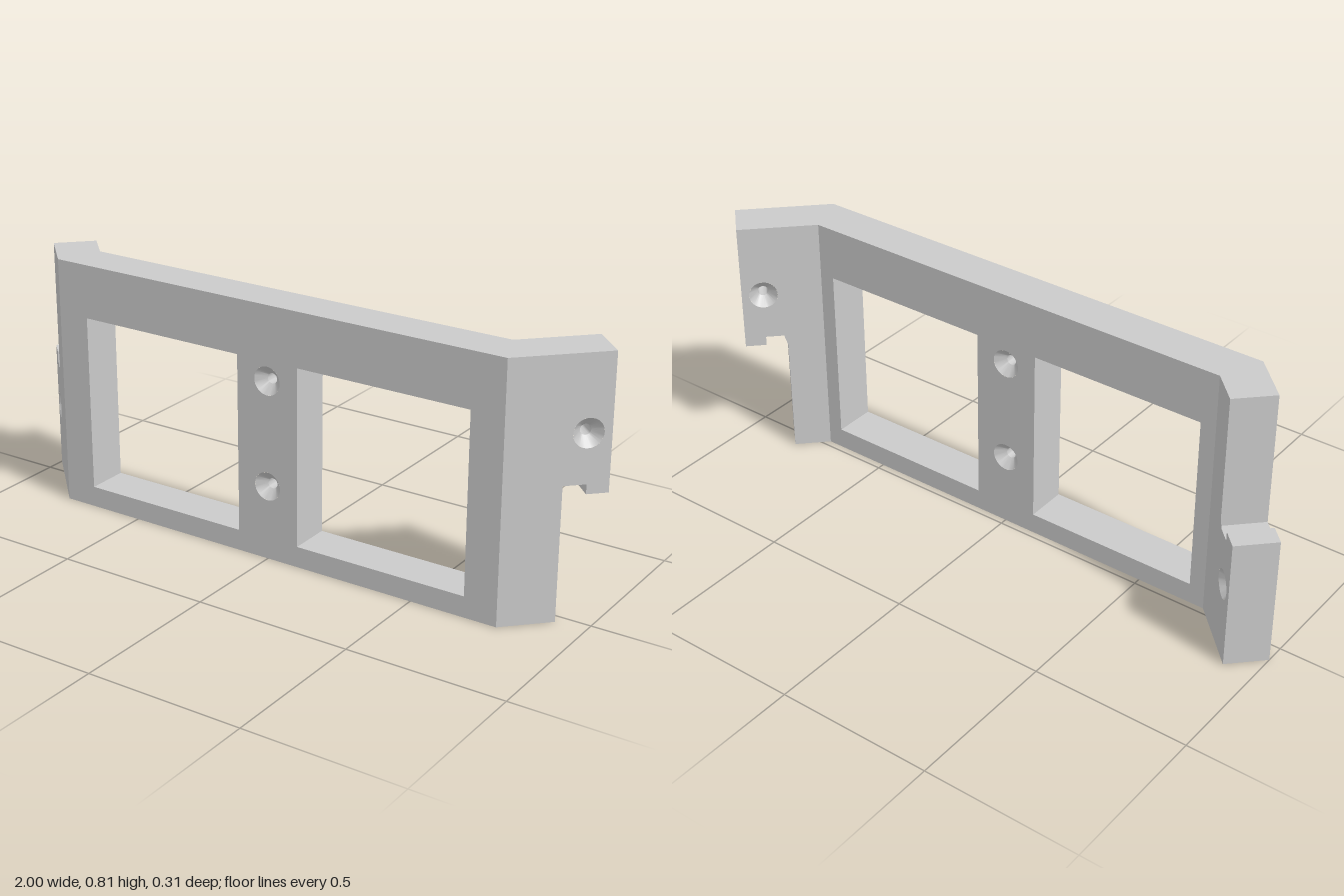
import * as THREE from 'three';
import { toCreasedNormals } from 'three/addons/utils/BufferGeometryUtils.js';

const H = 0.808;              // height
const T = 0.135;              // plate thickness
const FRONT = 0.157;          // z of the front face
const FOLD = 0.782;           // x of the fold on the front face
const MITRE = T * Math.tan(Math.PI / 8);
const SINK = 0.045;           // countersink radius
const BORE = 0.0165;          // bore radius

const polygon = (pts) => pts.map(([x, y]) => new THREE.Vector2(x, y));

// Extruded plate whose seam edges (x = ±seam) are mitred at the back and left open,
// as are the screw holes, which get their own double-countersunk lining.
function plateGeometry(outline, windows, holes, seam, mitre) {
  const shape = new THREE.Shape(polygon(outline));
  for (const w of windows) shape.holes.push(new THREE.Path(polygon(w)));
  for (const [x, y] of holes) {
    shape.holes.push(new THREE.Path().absarc(x, y, SINK, 0, Math.PI * 2, true));
  }
  const source = new THREE.ExtrudeGeometry(shape, { depth: T, bevelEnabled: false, curveSegments: 32 });
  const pos = source.attributes.position;
  const kept = [];
  const onSeam = (v) => Math.abs(Math.abs(v.x) - seam) < 1e-5;
  for (let i = 0; i < pos.count; i += 3) {
    const tri = [0, 1, 2].map((k) => new THREE.Vector3().fromBufferAttribute(pos, i + k));
    const inHole = holes.some(([x, y]) => tri.every((v) => Math.hypot(v.x - x, v.y - y) < SINK + 0.001));
    const inSeam = tri.every((v) => onSeam(v) && Math.abs(v.x - tri[0].x) < 1e-5);
    if (inHole || inSeam) continue;
    for (const v of tri) {
      if (onSeam(v) && v.z < T / 2) v.x += (v.x < 0 ? -1 : 1) * mitre;
      kept.push(v.x, v.y, v.z);
    }
  }
  const geometry = new THREE.BufferGeometry();
  geometry.setAttribute('position', new THREE.Float32BufferAttribute(kept, 3));
  geometry.computeVertexNormals();
  return geometry;
}

// Inward-facing lining: cone, bore, cone
function holeGeometry() {
  const d = SINK - BORE;
  const profile = polygon([[SINK, T], [BORE, T - d], [BORE, d], [SINK, 0]]);
  return toCreasedNormals(new THREE.LatheGeometry(profile, 32).rotateX(Math.PI / 2), 0.5);
}

export function createModel() {
  const model = new THREE.Group();
  model.name = 'mountingBracket';
  const grey = new THREE.MeshStandardMaterial({ color: 0xcacaca });
  grey.name = 'grey';
  const lining = holeGeometry();

  function addPlate(group, name, geometry, holes) {
    const plate = new THREE.Mesh(geometry, grey);
    plate.name = name;
    group.add(plate);
    for (const [x, y] of holes) {
      const hole = new THREE.Mesh(lining, grey);
      hole.name = 'screwHole';
      hole.position.set(x, y, 0);
      group.add(hole);
    }
  }

  // Centre panel with two square windows
  const panel = new THREE.Group();
  panel.name = 'centrePanel';
  panel.position.z = FRONT - T;
  const windows = [-0.391, 0.391].map((c) => {
    const a = c - 0.285, b = c + 0.285;
    return [[a, 0.067], [a, 0.636], [b, 0.636], [b, 0.067]];
  });
  const panelHoles = [[0, 0.574], [0, 0.238]];
  const panelOutline = [[-FOLD, 0], [FOLD, 0], [FOLD, H], [-FOLD, H]];
  addPlate(panel, 'windowPlate', plateGeometry(panelOutline, windows, panelHoles, FOLD, -MITRE), panelHoles);
  model.add(panel);

  // Side wings folded back 45 degrees; the right one is the left turned upside down
  const wingHoles = [[0.24, 0.573]];
  const wingOutline = [[0, 0], [0.173, 0], [0.173, 0.42], [0.242, 0.42],
    [0.242, 0.39], [0.308, 0.39], [0.308, H], [0, H]];
  const wingGeometry = plateGeometry(wingOutline, [], wingHoles, 0, MITRE);
  for (const side of ['left', 'right']) {
    const wing = new THREE.Group();
    wing.name = side + 'Wing';
    const folded = new THREE.Group();
    folded.name = side + 'WingFold';
    folded.rotation.y = Math.PI / 4;
    folded.position.set(FOLD - T * Math.SQRT1_2, 0, FRONT - T * Math.SQRT1_2);
    addPlate(folded, side + 'WingPlate', wingGeometry, wingHoles);
    wing.add(folded);
    if (side === 'right') {
      wing.rotation.z = Math.PI;
      wing.position.y = H;
    }
    model.add(wing);
  }
  return model;
}
